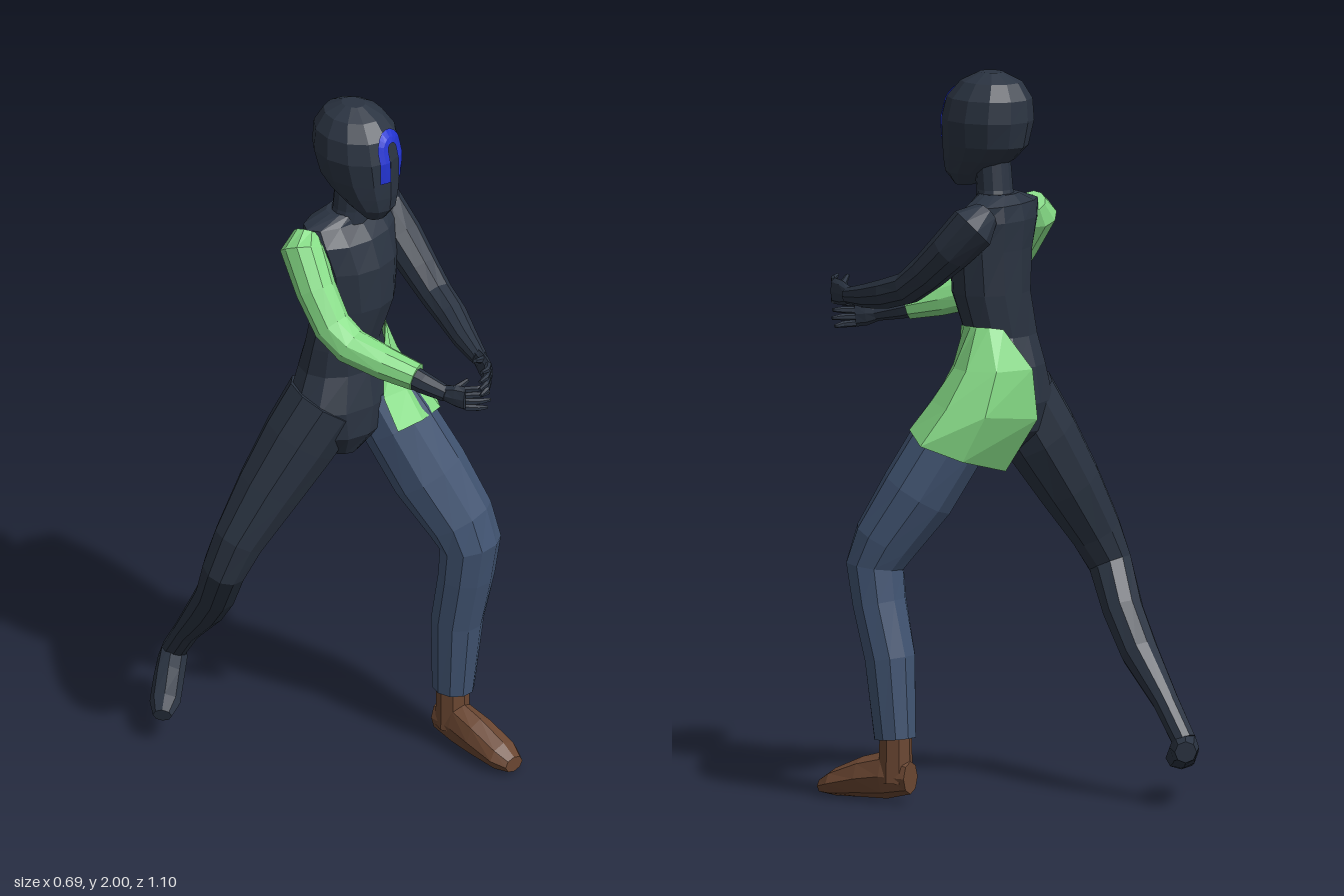
import * as THREE from 'three';

const V = (p) => new THREE.Vector3(p[0], p[1], p[2]);
const material = (name, color) => {
  const m = new THREE.MeshStandardMaterial({ color });
  m.name = name;
  return m;
};

// Faceted geometry from a triangle list of Vector3 corners
function faceted(tris) {
  const g = new THREE.BufferGeometry().setFromPoints(tris);
  g.computeVertexNormals();
  return g;
}

// Skin a list of equally long rows of points
function skin(rows, closed) {
  const tris = [], n = rows[0].length;
  for (let i = 0; i < rows.length - 1; i++)
    for (let j = 0; j < (closed ? n : n - 1); j++) {
      const k = (j + 1) % n, a = rows[i][j], b = rows[i][k], c = rows[i + 1][k], d = rows[i + 1][j];
      tris.push(a, b, c, a, c, d);
    }
  return tris;
}

// Loft elliptical rings [x, y, z, radiusU, radiusV] along their centres
function loft(rings, { sides = 10, ref = [1, 0, 0], axis = null } = {}) {
  const centres = rings.map(V);
  const rows = rings.map((r, i) => {
    const t = axis ? V(axis) : new THREE.Vector3();
    if (!axis) {
      if (i > 0) t.add(centres[i].clone().sub(centres[i - 1]).normalize());
      if (i < rings.length - 1) t.add(centres[i + 1].clone().sub(centres[i]).normalize());
      t.normalize();
    }
    const u = V(ref).addScaledVector(t, -V(ref).dot(t)).normalize();
    const v = t.clone().cross(u);
    return Array.from({ length: sides }, (_, j) => {
      const a = (j / sides) * Math.PI * 2;
      return centres[i].clone().addScaledVector(u, Math.cos(a) * r[3]).addScaledVector(v, Math.sin(a) * (r[4] ?? r[3]));
    });
  });
  const tris = skin(rows, true), last = rows.length - 1;
  for (let j = 0; j < sides; j++) {
    const k = (j + 1) % sides;
    tris.push(centres[0], rows[0][k], rows[0][j], centres[last], rows[last][j], rows[last][k]);
  }
  return faceted(tris);
}

// Head rings: [x, y, z, radius x, radius z]
const HEAD = [
  [0.048, 1.685, 0.085, 0.032, 0.028], [0.048, 1.72, 0.07, 0.062, 0.07],
  [0.048, 1.76, 0.04, 0.082, 0.105], [0.048, 1.8, 0.02, 0.096, 0.125],
  [0.048, 1.87, 0.012, 0.112, 0.132], [0.048, 1.93, 0.006, 0.104, 0.122],
  [0.048, 1.975, 0, 0.075, 0.088], [0.048, 2, 0, 0.03, 0.035],
];

// Depth of the face surface at x, y
function faceZ(x, y) {
  const i = HEAD.findIndex((r, k) => y >= r[1] && y <= HEAD[k + 1][1]);
  const f = (y - HEAD[i][1]) / (HEAD[i + 1][1] - HEAD[i][1]);
  const [cx, , cz, rx, rz] = HEAD[i].map((a, k) => a + (HEAD[i + 1][k] - a) * f);
  return cz + rz * Math.sqrt(1 - ((x - cx) / rx) ** 2);
}

export function createModel() {
  const model = new THREE.Group();
  model.name = 'figure';
  const dark = material('darkSuit', 0x2a3341);
  const jeans = material('blueDenim', 0x415472);
  const green = material('lightGreen', 0x86dc86);
  const brown = material('brownLeather', 0x6a4631);
  const blue = material('brightBlue', 0x2233d0);
  green.side = blue.side = THREE.DoubleSide;
  const add = (name, geometry, mat, parent = model) => {
    const mesh = new THREE.Mesh(geometry, mat);
    mesh.name = name;
    parent.add(mesh);
  };
  const upright = { sides: 12, axis: [0, 1, 0] };

  // Head, neck and torso
  add('head', loft(HEAD, upright), dark);
  add('neck', loft([[0.05, 1.62, -0.02, 0.065, 0.055], [0.05, 1.68, -0.012, 0.05, 0.05],
    [0.05, 1.8, 0, 0.046, 0.052]], upright), dark);
  add('torso', loft([
    [0.0, 0.955, -0.01, 0.05, 0.06], [0.02, 1.02, -0.02, 0.13, 0.11], [0.035, 1.1, -0.03, 0.175, 0.12],
    [0.04, 1.2, -0.035, 0.135, 0.105], [0.03, 1.28, -0.02, 0.118, 0.09], [0.055, 1.4, -0.003, 0.122, 0.102],
    [0.055, 1.52, -0.005, 0.138, 0.1], [0.05, 1.6, -0.02, 0.15, 0.09], [0.05, 1.645, -0.035, 0.145, 0.065],
    [0.05, 1.67, -0.025, 0.065, 0.05],
  ], upright), dark);

  // Arch-shaped mark on the face
  const path = [];
  for (let i = 0; i < 4; i++) path.push([-1, 0, 1.812 + i * 0.03]);
  for (let i = 0; i <= 8; i++) {
    const a = Math.PI * (1 - i / 8);
    path.push([Math.cos(a), Math.sin(a), 1.904]);
  }
  for (let i = 3; i >= 0; i--) path.push([1, 0, 1.812 + i * 0.03]);
  const strip = [0.049, 0.032, 0.017].map((r) => path.map(([c, s, y]) => {
    const px = 0.061 + c * r, py = y + s * r;
    return new THREE.Vector3(px, py, faceZ(px, py) + 0.004);
  }));
  add('faceMark', faceted(skin(strip.reverse(), false)), blue);

  // Right arm with green sleeve
  add('rightSleeve', loft([
    [-0.085, 1.63, -0.045, 0.035], [-0.115, 1.595, -0.03, 0.062], [-0.125, 1.5, 0.03, 0.056],
    [-0.123, 1.41, 0.09, 0.053], [-0.11, 1.365, 0.15, 0.052], [-0.075, 1.335, 0.25, 0.047], [-0.043, 1.315, 0.335, 0.04],
  ]), green);
  add('rightForearm', loft([[-0.06, 1.325, 0.29, 0.034], [-0.04, 1.305, 0.36, 0.03], [-0.018, 1.288, 0.425, 0.022]],
    { sides: 8 }), dark);

  // Left arm
  add('leftArm', loft([
    [0.16, 1.625, -0.055, 0.04], [0.205, 1.595, -0.045, 0.066], [0.212, 1.53, 0.02, 0.06], [0.208, 1.46, 0.1, 0.052],
    [0.2, 1.41, 0.17, 0.046], [0.178, 1.385, 0.25, 0.043], [0.14, 1.365, 0.34, 0.035], [0.105, 1.352, 0.43, 0.023],
  ]), dark);

  // Hands: flat palm, four curled fingers and a thumb
  const hand = (name, wrist, knuckle, tip) => {
    const g = new THREE.Group();
    g.name = name;
    model.add(g);
    const [w, k, t] = [wrist, knuckle, tip].map(V);
    const mid = w.clone().lerp(k, 0.55);
    add('palm', loft([[...w, 0.018, 0.022], [...mid, 0.017, 0.034], [...k, 0.014, 0.036]], { sides: 8 }), dark, g);
    for (let i = 0; i < 4; i++) {
      const dy = (i - 1.5) * 0.018, reach = [0.88, 1, 0.97, 0.8][i];
      const bend = k.clone().lerp(t, 0.5 * reach).add(new THREE.Vector3(0, dy * 1.1, 0.008));
      const end = k.clone().lerp(t, reach);
      add('finger', loft([[k.x, k.y + dy, k.z, 0.01], [...bend, 0.009], [end.x, end.y + dy * 1.25, end.z, 0.005]],
        { sides: 6, ref: [0, 1, 0] }), dark, g);
    }
    const th = mid.clone().lerp(t, 0.55);
    add('thumb', loft([[mid.x, mid.y + 0.02, mid.z, 0.012], [th.x, th.y + 0.04, th.z - 0.025, 0.006]],
      { sides: 6, ref: [0, 1, 0] }), dark, g);
  };
  hand('rightHand', [-0.02, 1.29, 0.415], [0.005, 1.285, 0.475], [0.06, 1.287, 0.515]);
  hand('leftHand', [0.108, 1.354, 0.42], [0.062, 1.352, 0.505], [-0.005, 1.352, 0.54]);

  // Right leg and foot, stretched back
  add('rightLeg', loft([
    [-0.03, 1.1, -0.03, 0.115, 0.11], [-0.09, 0.99, -0.065, 0.112, 0.105], [-0.17, 0.85, -0.105, 0.097, 0.09],
    [-0.25, 0.71, -0.14, 0.077, 0.07], [-0.281, 0.62, -0.165, 0.062, 0.062], [-0.235, 0.5, -0.24, 0.058, 0.056],
    [-0.19, 0.4, -0.325, 0.054, 0.052], [-0.16, 0.28, -0.43, 0.038, 0.036], [-0.14, 0.18, -0.505, 0.034, 0.034],
  ]), dark);
  add('rightFoot', loft([
    [-0.1, 0.158, -0.537, 0.03, 0.03], [-0.14, 0.163, -0.505, 0.04, 0.05], [-0.2, 0.138, -0.46, 0.042, 0.044],
    [-0.27, 0.108, -0.405, 0.042, 0.032], [-0.31, 0.094, -0.375, 0.026, 0.02],
  ], { sides: 8, ref: [0.65, 0, 0.76] }), dark);

  // Left trouser leg and shoe, stepping forward
  add('leftTrouserLeg', loft([
    [0.13, 1.09, 0.01, 0.095, 0.1], [0.158, 1.0, 0.06, 0.106, 0.104], [0.205, 0.85, 0.135, 0.112, 0.103],
    [0.245, 0.72, 0.212, 0.1, 0.088], [0.257, 0.65, 0.24, 0.09, 0.078], [0.257, 0.55, 0.225, 0.084, 0.071],
    [0.255, 0.4, 0.192, 0.075, 0.07], [0.257, 0.18, 0.174, 0.058, 0.059],
  ]), jeans);
  add('leftAnkle', loft([[0.257, 0.2, 0.172, 0.044, 0.045], [0.257, 0.06, 0.172, 0.046, 0.048]], { sides: 8 }), brown);
  add('leftShoe', loft([
    [0.257, 0.075, 0.123, 0.034, 0.045], [0.257, 0.077, 0.2, 0.045, 0.066], [0.255, 0.064, 0.28, 0.051, 0.056],
    [0.255, 0.042, 0.37, 0.051, 0.038], [0.255, 0.03, 0.41, 0.032, 0.022],
  ], { sides: 8, axis: [0, 0, 1] }), brown);

  // Half skirt over the left hip, rows from waist to hem, each front to back
  const skirt = [
    [[0.125, 1.31, 0.048], [0.145, 1.312, 0.024], [0.16, 1.315, -0.008], [0.165, 1.315, -0.03], [0.155, 1.315, -0.065], [0.13, 1.31, -0.095]],
    [[0.085, 1.2, 0.078], [0.13, 1.2, 0.07], [0.187, 1.2, 0.03], [0.215, 1.2, -0.03], [0.185, 1.2, -0.11], [0.08, 1.2, -0.157]],
    [[0.06, 1.12, 0.105], [0.14, 1.12, 0.112], [0.22, 1.11, 0.08], [0.265, 1.1, 0], [0.225, 1.08, -0.1], [0.06, 1.06, -0.16]],
    [[0.062, 1.035, 0.158], [0.15, 1.04, 0.164], [0.25, 1.03, 0.132], [0.317, 1.0, 0.05], [0.245, 0.955, -0.04], [0.075, 0.91, -0.065]],
  ].map((row) => row.map(V).reverse());
  add('halfSkirt', faceted(skin(skirt, false)), green);

  return model;
}
